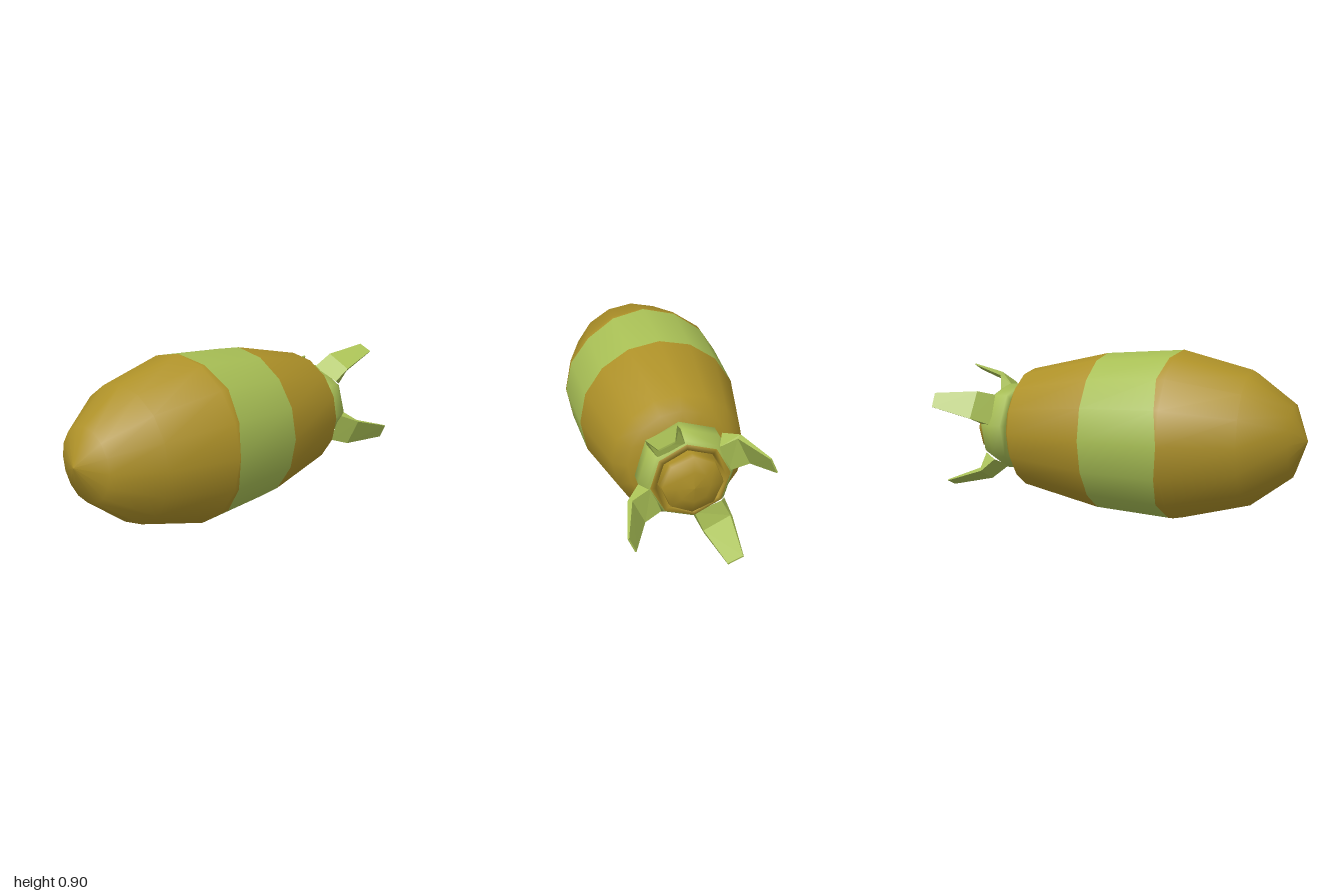
import * as THREE from 'three';

const brown = new THREE.MeshStandardMaterial({ color: 0xae9128 });
brown.name = 'ochre brown';
const green = new THREE.MeshStandardMaterial({ color: 0xa8bf55 });
green.name = 'light green';

// Lathe along x; strips lists a material index (0 brown, 1 green) per profile segment
function lathe(name, profile, sides, strips, adjust) {
  const geo = new THREE.LatheGeometry(profile.map(([x, r]) => new THREE.Vector2(r, x)), sides);
  const n = profile.length;
  if (adjust) {
    const pos = geo.attributes.position;
    for (let i = 0; i <= sides; i++) adjust(pos, i * n, (i / sides) * Math.PI * 2);
  }
  geo.clearGroups();
  for (let i = 0; i < sides; i++) {
    strips.forEach((m, j) => geo.addGroup((i * (n - 1) + j) * 6, 6, m));
  }
  geo.rotateZ(-Math.PI / 2);
  const mesh = new THREE.Mesh(geo, [brown, green]);
  mesh.name = name;
  return mesh;
}

// One tail fin as a thin loft; each section gives [x, z, y] for two outer corners
function finGeometry() {
  const sections = [
    { a: [0.70, 0.192, 0.168], b: [0.70, 0.03, 0.23], scale: 0.82, shift: 0.07 },
    { a: [0.775, 0.215, 0.235], b: [0.785, 0.07, 0.302], scale: 0.93, shift: 0.01 },
    { a: [1.0, 0.205, 0.308], b: [1.0, 0.13, 0.342], scale: 0.98, shift: 0 },
  ];
  const loops = sections.map(({ a, b, scale, shift }) => {
    const outer = ([x, z, y]) => [x, y, z];
    const inner = ([x, z, y]) => [x + shift, y * scale, z * scale];
    return [outer(a), outer(b), inner(b), inner(a)];
  });
  const v = [];
  const quad = (p, q, r, s) => v.push(...p, ...q, ...r, ...p, ...r, ...s);
  for (let i = 0; i < loops.length - 1; i++) {
    for (let k = 0; k < 4; k++) {
      const m = (k + 1) % 4;
      quad(loops[i][k], loops[i + 1][k], loops[i + 1][m], loops[i][m]);
    }
  }
  const [a, b, c, d] = loops[2];
  quad(a, d, c, b);
  const geo = new THREE.BufferGeometry();
  geo.setAttribute('position', new THREE.Float32BufferAttribute(v, 3));
  geo.computeVertexNormals();
  return geo;
}

export function createModel() {
  const model = new THREE.Group();
  model.name = 'finnedShell';
  const axis = new THREE.Group();
  axis.name = 'shellAxis';
  axis.position.y = 0.453;
  model.add(axis);

  // Rounded hull with a painted band whose front edge is slightly wavy
  const hull = [
    [-1, 0], [-0.93, 0.19], [-0.71, 0.355], [-0.342, 0.452], [-0.315, 0.451],
    [0.09, 0.427], [0.54, 0.332], [0.585, 0.265], [0.62, 0.17], [0.63, 0],
  ];
  axis.add(lathe('hull', hull, 16, [0, 0, 0, 0, 1, 0, 0, 0, 0], (pos, start, angle) => {
    pos.setY(start + 4, -0.316 - 0.021 * Math.cos(4 * angle));
  }));

  // Tail assembly, turned a little about the long axis
  const collar = [
    [0.615, 0.17], [0.622, 0.21], [0.637, 0.241], [0.71, 0.241],
    [0.765, 0.208], [0.78, 0.195], [0.785, 0.168], [0.70, 0.16],
  ];
  const ring = lathe('tailCollar', collar, 8, [1, 1, 1, 1, 1, 0, 0]);
  ring.rotation.x = 0.11;
  axis.add(ring);

  // Exhaust plug inside the collar
  const plug = [[0.62, 0.15], [0.79, 0.152], [0.82, 0.147], [0.845, 0.08], [0.855, 0]];
  axis.add(lathe('exhaustPlug', plug, 8, [0, 0, 0, 0]));

  // Four fins
  const fin = finGeometry();
  for (let i = 0; i < 4; i++) {
    const mesh = new THREE.Mesh(fin, green);
    mesh.name = 'tailFin' + (i + 1);
    mesh.rotation.x = (i * Math.PI) / 2;
    axis.add(mesh);
  }
  return model;
}
